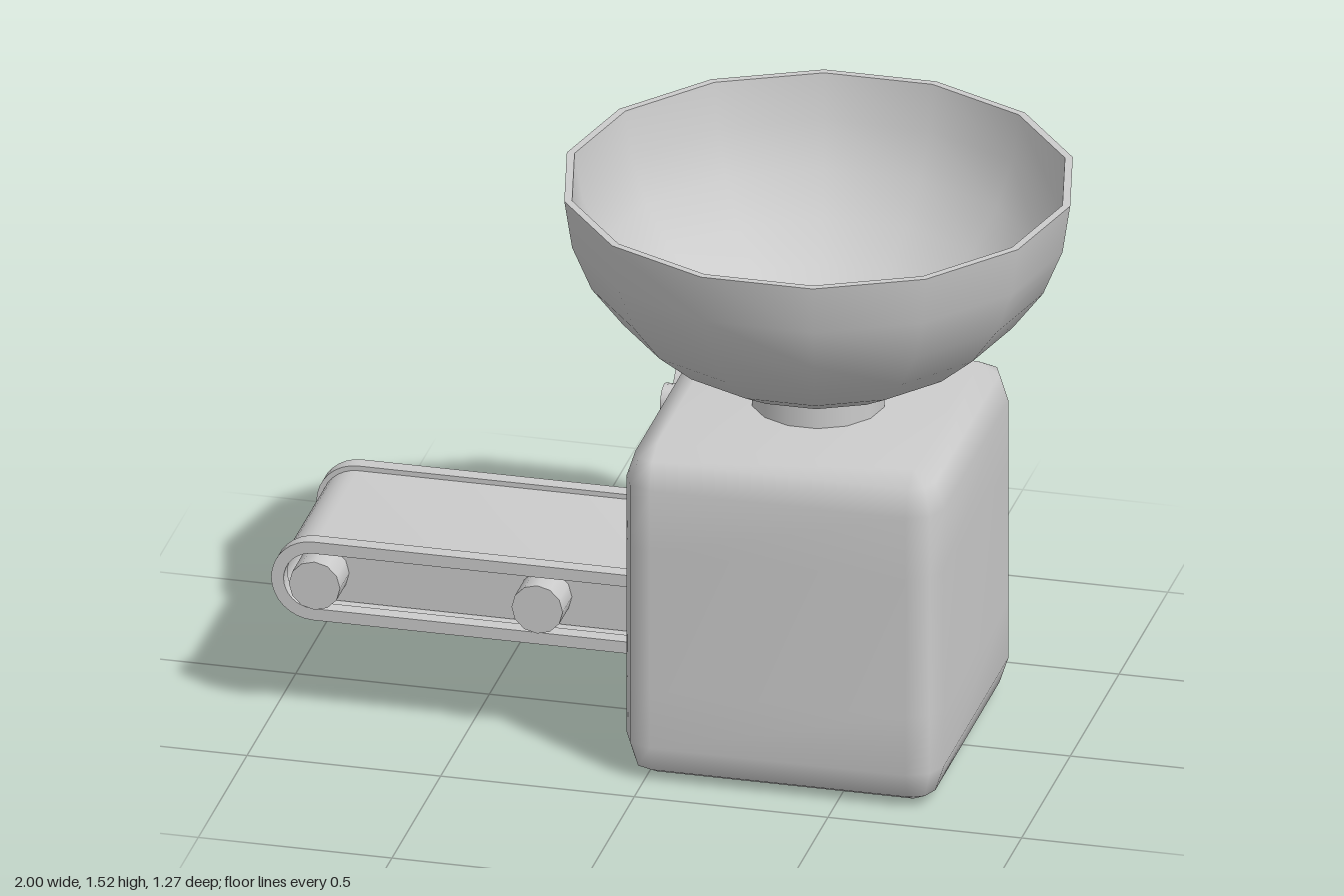
import * as THREE from 'three';
import { mergeVertices, toCreasedNormals } from 'three/addons/utils/BufferGeometryUtils.js';

const material = new THREE.MeshStandardMaterial({ color: 0xcccccc });
const thinMaterial = new THREE.MeshStandardMaterial({ color: 0xcccccc, side: THREE.DoubleSide });

function add(parent, name, geometry, x = 0, y = 0, z = 0, mat = material) {
  const mesh = new THREE.Mesh(geometry, mat);
  mesh.name = name;
  mesh.position.set(x, y, z);
  parent.add(mesh);
  return mesh;
}

// Hollow rounded housing, open below, with a window in its -x side.
const CORE_X = 0.33, CORE_Z = 0.33; // centres of the rounded corners
const WINDOW = [0.26, 0.64];
const OUTER_R = 0.08, INNER_R = 0.04;

function housingGeometry() {
  // [height, corner radius, scale]: down the inside, round the lower rim, up the outside
  const rings = [
    [0.86, 0, 0], [0.86, 0, 1], [0.82, INNER_R, 1],
    [WINDOW[1], INNER_R, 1], [WINDOW[0], INNER_R, 1], [0.07, INNER_R, 1],
    [0, 0, 1], [0.03, 0.057, 1], [0.1, OUTER_R, 1],
    [WINDOW[0], OUTER_R, 1], [WINDOW[1], OUTER_R, 1],
    [0.81, OUTER_R, 1], [0.88, 0.057, 1], [0.91, 0, 1], [0.91, 0, 0],
  ];
  const signs = [[1, 1], [-1, 1], [-1, -1], [1, -1]];
  const positions = [], indices = [];
  for (const [y, r, s] of rings) {
    signs.forEach(([sx, sz], c) => {
      for (let k = 0; k < 3; k++) {
        const a = c * Math.PI / 2 + k * Math.PI / 4;
        positions.push(s * (sx * CORE_X + r * Math.cos(a)), y, s * (sz * CORE_Z + r * Math.sin(a)));
      }
    });
  }
  for (let j = 0; j < rings.length - 1; j++) {
    for (let i = 0; i < 12; i++) {
      if (i === 5 && (j === 3 || j === 9)) continue; // the window
      const p = j * 12 + i, q = j * 12 + (i + 1) % 12;
      indices.push(p, p + 12, q, q, p + 12, q + 12);
    }
  }
  const g = new THREE.BufferGeometry();
  g.setAttribute('position', new THREE.Float32BufferAttribute(positions, 3));
  g.setIndex(indices);
  const merged = mergeVertices(g);
  merged.computeVertexNormals();
  return merged;
}

// Edges of the window, joining outer and inner skins
function windowFrameGeometry() {
  const corners = [[WINDOW[0], -CORE_Z], [WINDOW[0], CORE_Z], [WINDOW[1], CORE_Z], [WINDOW[1], -CORE_Z]];
  const positions = [], indices = [];
  corners.forEach(([y0, z0], i) => {
    const [y1, z1] = corners[(i + 1) % 4];
    const xo = -CORE_X - OUTER_R, xi = -CORE_X - INNER_R, b = i * 4;
    positions.push(xo, y0, z0, xo, y1, z1, xi, y1, z1, xi, y0, z0);
    indices.push(b, b + 1, b + 2, b, b + 2, b + 3);
  });
  const g = new THREE.BufferGeometry();
  g.setAttribute('position', new THREE.Float32BufferAttribute(positions, 3));
  g.setIndex(indices);
  g.computeVertexNormals();
  return g;
}

// Closed loop band around two pulley centres
function stadium(target, x0, x1, y, r) {
  target.absarc(x0, y, r, Math.PI / 2, Math.PI * 1.5, false);
  target.absarc(x1, y, r, -Math.PI / 2, Math.PI / 2, false);
  target.closePath();
  return target;
}

function band(x0, x1, y, outer, inner, depth) {
  const shape = stadium(new THREE.Shape(), x0, x1, y, outer);
  shape.holes.push(stadium(new THREE.Path(), x0, x1, y, inner));
  const g = new THREE.ExtrudeGeometry(shape, { depth, bevelEnabled: false, curveSegments: 8 });
  g.translate(0, 0, -depth / 2);
  return toCreasedNormals(g, 0.6);
}

function lathe(points, sides) {
  return new THREE.LatheGeometry(points.map(p => new THREE.Vector2(...p)), sides, Math.PI / 2);
}

export function createModel() {
  const model = new THREE.Group();
  model.name = 'machine';

  // Housing
  const body = new THREE.Group();
  body.name = 'body';
  body.position.set(0.35, 0, 0.01);
  model.add(body);
  add(body, 'housing', housingGeometry());
  add(body, 'windowFrame', windowFrameGeometry(), 0, 0, 0, thinMaterial);

  // Knobs above the window
  for (const [name, y, z, r] of [['largeKnob', 0.77, -0.3, 0.06], ['smallKnob', 0.795, -0.15, 0.042]]) {
    const knob = add(model, name, new THREE.CylinderGeometry(r, r, 0.05, 12), -0.062, y, z);
    knob.rotation.z = Math.PI / 2;
  }

  // Hopper bowl on its neck
  const hopper = new THREE.Group();
  hopper.name = 'hopper';
  hopper.position.x = 0.35;
  model.add(hopper);
  add(hopper, 'neck', lathe([[0.17, 0.9], [0.17, 0.985]], 14), 0, 0, 0, thinMaterial);
  add(hopper, 'bowlOuter', lathe([
    [0.165, 0.975], [0.29, 1.02], [0.4, 1.08], [0.5, 1.165], [0.58, 1.27], [0.63, 1.39], [0.65, 1.52],
  ], 14), 0, 0, 0, thinMaterial);
  add(hopper, 'bowlRim', lathe([[0.65, 1.52], [0.63, 1.52]], 14), 0, 0, 0, thinMaterial);
  add(hopper, 'bowlInner', lathe([
    [0.63, 1.52], [0.61, 1.4], [0.562, 1.285], [0.485, 1.185], [0.39, 1.103], [0.28, 1.042], [0.14, 0.995],
  ], 14), 0, 0, 0, thinMaterial);
  add(hopper, 'throat', lathe([[0.14, 0.995], [0.095, 0.93], [0, 0.93]], 14), 0, 0, 0, thinMaterial);

  // Conveyor
  const conveyor = new THREE.Group();
  conveyor.name = 'conveyor';
  model.add(conveyor);
  const x0 = -0.892, x1 = 0.0, y = 0.382;
  add(conveyor, 'belt', band(x0, x1, y, 0.095, 0.078, 0.43));
  for (const side of [-1, 1]) {
    add(conveyor, 'beltRail', band(x0, x1, y, 0.108, 0.076, 0.04), 0, 0, side * 0.232);
  }
  add(conveyor, 'innerFrame', new THREE.BoxGeometry(0.87, 0.152, 0.38), -0.435, y, 0);
  for (const x of [-0.88, -0.305]) {
    const roller = add(conveyor, 'roller', new THREE.CylinderGeometry(0.066, 0.066, 0.57, 12), x, 0.385, 0);
    roller.rotation.x = Math.PI / 2;
  }

  return model;
}
